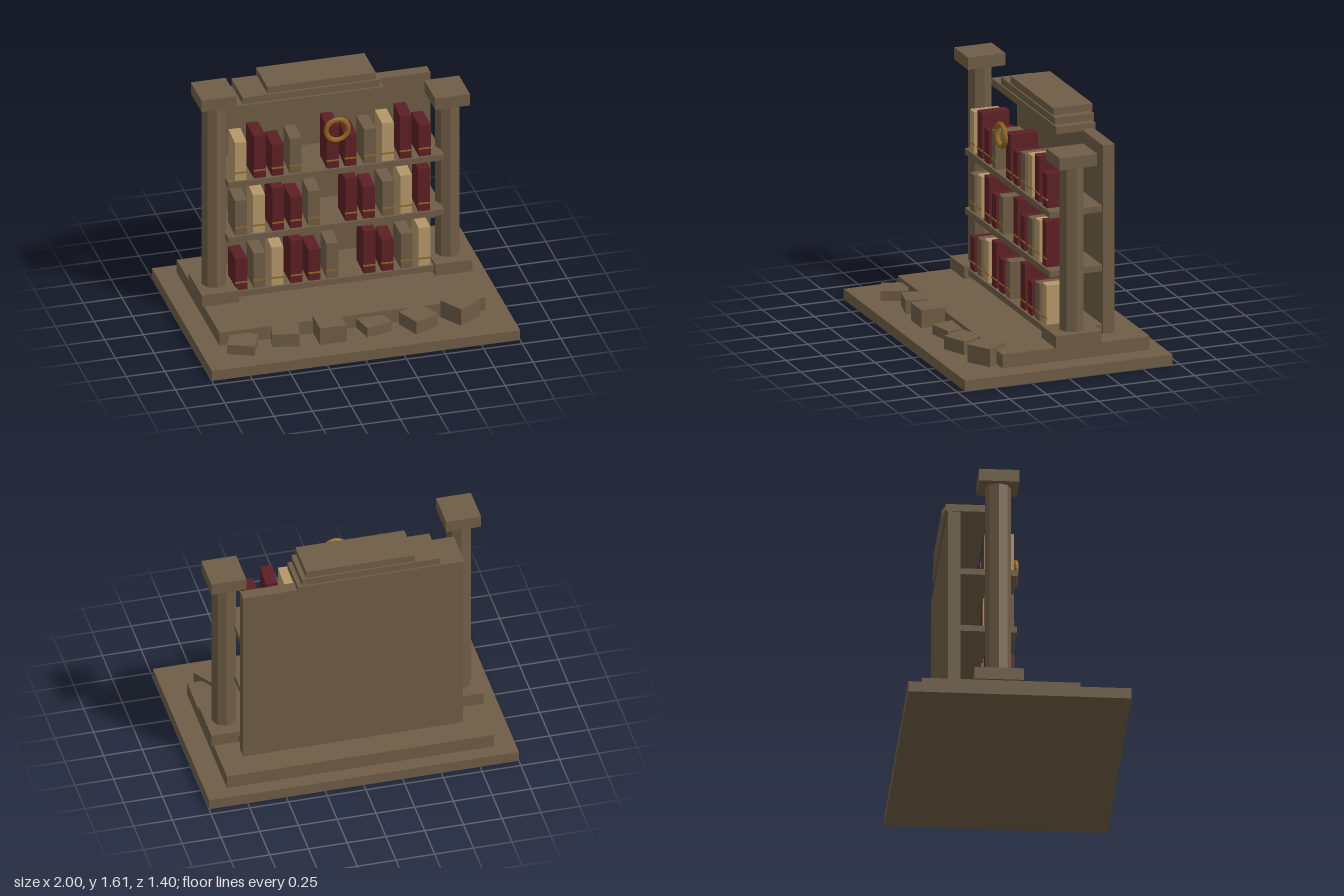
import * as THREE from 'three';

const material = (name, color) => {
  const m = new THREE.MeshStandardMaterial({ color, flatShading: true });
  m.name = name;
  return m;
};

export function createModel() {
  const model = new THREE.Group();
  model.name = 'ruinedBookcase';
  const stone = material('stone', 0x6f5d46);
  const red = material('redLeather', 0x5c2024);
  const tan = material('tanLeather', 0xb4986a);
  const gold = material('gold', 0x936520);

  const add = (name, geometry, mat, parent = model) => {
    const mesh = new THREE.Mesh(geometry, mat);
    mesh.name = name;
    parent.add(mesh);
    return mesh;
  };
  // Box given by its extents on each axis
  const block = (name, [x0, x1], [y0, y1], [z0, z1], mat = stone) => {
    const mesh = add(name, new THREE.BoxGeometry(x1 - x0, y1 - y0, z1 - z0), mat);
    mesh.position.set((x0 + x1) / 2, (y0 + y1) / 2, (z0 + z1) / 2);
    return mesh;
  };

  // Stepped plinth and back wall
  block('lowerStep', [-1, 1], [0, 0.07], [-0.7, 0.7]);
  block('upperStep', [-0.865, 0.86], [0.07, 0.16], [-0.605, 0.39]);
  block('backWall', [-0.71, 0.71], [0.16, 1.4], [-0.43, -0.35]);

  // Shelves
  const shelfTops = [0.22, 0.61, 1.0];
  for (const y of shelfTops) block('shelf', [-0.7, 0.7], [y - 0.04, y], [-0.36, 0.005]);

  // Broken stepped crown
  block('crownLower', [-0.715, 0.36], [1.387, 1.434], [-0.445, -0.18]);
  block('crownMiddle', [-0.555, 0.335], [1.442, 1.488], [-0.445, -0.18]);
  block('crownUpper', [-0.395, 0.308], [1.496, 1.543], [-0.445, -0.18]);

  // Octagonal columns, the model's left one shorter
  for (const [x, top] of [[-0.76, 1.53], [0.755, 1.325]]) {
    block('columnBase', [x - 0.12, x + 0.12], [0.16, 0.24], [-0.275, 0.033]);
    const shaft = add('columnShaft', new THREE.CylinderGeometry(0.08, 0.08, top - 0.24, 8), stone);
    shaft.position.set(x, (top + 0.24) / 2, -0.12);
    block('columnCapital', [x - 0.113, x + 0.113], [top, top + 0.08], [-0.247, 0.006]);
  }

  // Books repeat four bindings; each shelf has one gap
  const bindings = [[tan, 0.27], [red, 0.3], [red, 0.22], [stone, 0.245]];
  const rows = [{ start: 2, gap: 6 }, { start: 3, gap: 5 }, { start: 0, gap: 4 }];
  rows.forEach(({ start, gap }, row) => {
    for (let i = 0; i < 11; i++) {
      if (i === gap) continue;
      const [mat, height] = bindings[(i + start) % 4];
      const book = new THREE.Group();
      book.name = 'book';
      const cover = add('bookCover', new THREE.BoxGeometry(0.076, height, 0.185), mat, book);
      cover.position.y = height / 2;
      const band = add('bookBand', new THREE.BoxGeometry(0.079, 0.01, 0.009), gold, book);
      band.position.set(0, 0.055, 0.0915);
      book.position.set(-0.61 + 0.119 * i, shelfTops[row], -0.102);
      book.rotation.y = -0.03 * ((i + row) % 3);
      model.add(book);
    }
  });

  // Floating gold ring
  const ring = add('ring', new THREE.TorusGeometry(0.072, 0.016, 6, 20), gold);
  ring.position.set(-0.005, 1.3, 0.045);

  // Fallen blocks: x, z, height, turn
  const rubble = [
    [-0.735, 0.465, 0.065, -0.42],
    [-0.45, 0.43, 0.088, -0.22],
    [-0.17, 0.465, 0.117, 0],
    [0.12, 0.43, 0.065, 0.22],
    [0.405, 0.465, 0.088, 0.42],
    [0.685, 0.425, 0.117, 0.57],
  ];
  for (const [x, z, height, turn] of rubble) {
    const rock = add('fallenBlock', new THREE.BoxGeometry(0.173, height, 0.173), stone);
    rock.position.set(x, 0.07 + height / 2, z);
    rock.rotation.y = turn;
  }

  return model;
}
